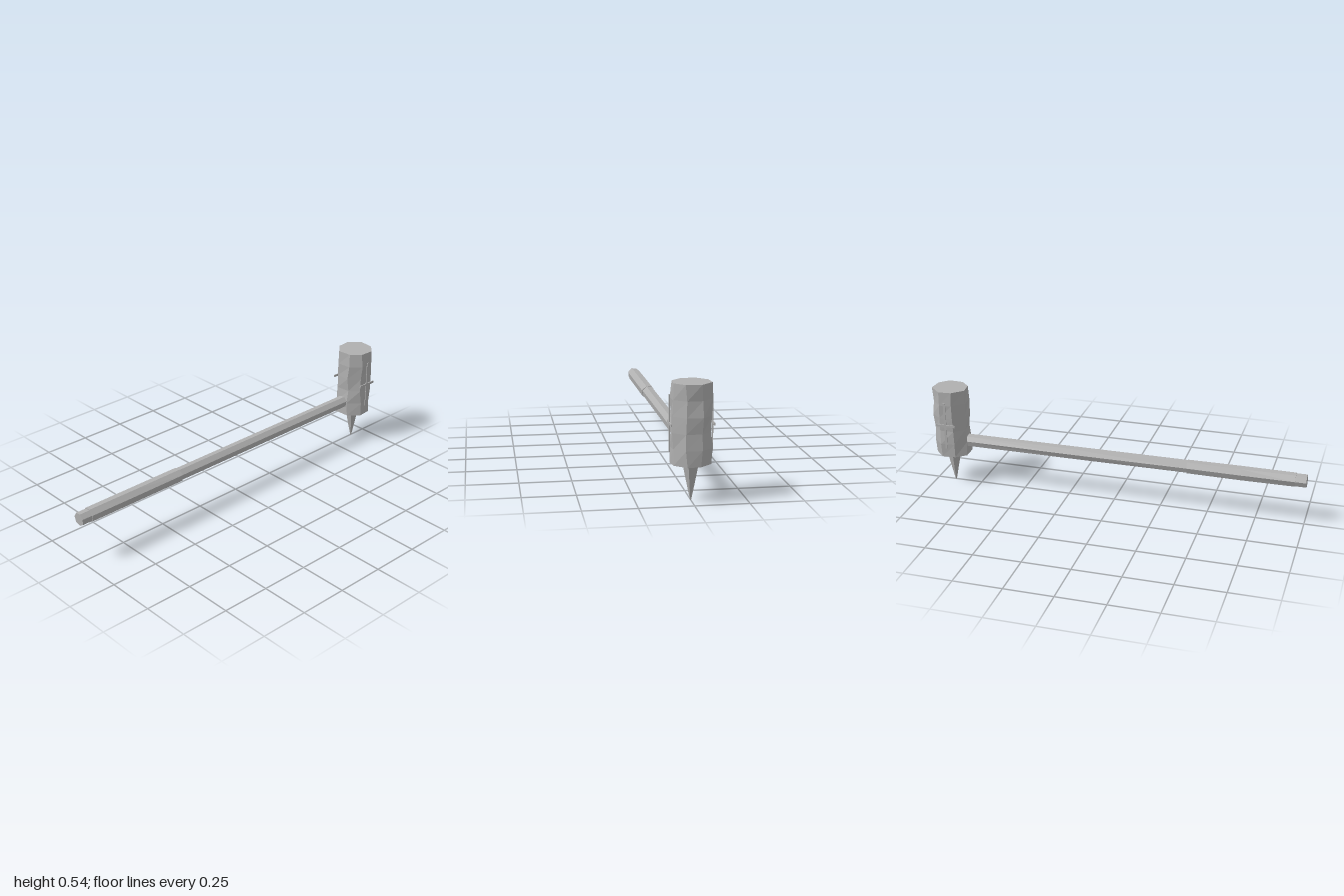
import * as THREE from 'three';

const steel = new THREE.MeshStandardMaterial({ color: 0xb0b0b0, flatShading: true });
steel.name = 'grey steel';

// repeatable value in -1..1 for a position, so coincident corners move together
function wobble(x, y, z, seed) {
  const r = (v) => Math.round(v * 1000);
  const s = Math.sin(r(x) * 12.99 + r(y) * 78.23 + r(z) * 37.72 + seed * 9.17) * 4375.85;
  return (s - Math.floor(s)) * 2 - 1;
}

// nudge the corners of a Y-axis cylinder sideways for a hand-hewn surface
function roughen(geo, amount, seed) {
  const p = geo.attributes.position;
  for (let i = 0; i < p.count; i++) {
    const x = p.getX(i), y = p.getY(i), z = p.getZ(i);
    if (Math.hypot(x, z) < 0.001) continue; // keep cap centres
    p.setX(i, x + amount * wobble(x, y, z, seed));
    p.setZ(i, z + amount * wobble(x, y, z, seed + 1));
  }
  const flat = geo.toNonIndexed();
  flat.computeVertexNormals();
  return flat;
}

export function createModel() {
  const group = new THREE.Group();
  const add = (name, geo, x, y, z) => {
    const mesh = new THREE.Mesh(geo, steel);
    mesh.name = name;
    mesh.position.set(x, y, z);
    group.add(mesh);
    return mesh;
  };

  // seven-sided rod lying along x
  const rod = (name, x0, x1, radius, segments, rough, seed) => {
    const geo = new THREE.CylinderGeometry(radius, radius, x1 - x0, 7, segments, false, -0.35);
    const rough2 = roughen(geo, rough, seed).rotateZ(-Math.PI / 2);
    add(name, rough2, (x0 + x1) / 2, 0.243, 0);
  };
  rod('shaft', -1, 0.83, 0.034, 3, 0.001, 1);
  rod('grip', -0.945, -0.39, 0.0375, 2, 0.0015, 4);

  // eight-sided chipped head
  const head = new THREE.CylinderGeometry(0.094, 0.094, 0.37, 8, 5, false, Math.PI / 8);
  add('head', roughen(head, 0.006, 7), 0.901, 0.355, 0);

  // spike under the head
  const spike = new THREE.CylinderGeometry(0.039, 0.003, 0.17, 6, 2, false, 0.1);
  add('spike', roughen(spike, 0.001, 3), 0.9, 0.085, 0);

  // thin crosses standing just off the front and back of the head
  for (const side of [1, -1]) {
    add('crossUpright', new THREE.BoxGeometry(0.012, 0.26, 0.004), 0.9, 0.355, side * 0.0975);
    add('crossBar', new THREE.BoxGeometry(0.108, 0.012, 0.005), 0.9, 0.355, side * 0.0975);
  }
  return group;
}
